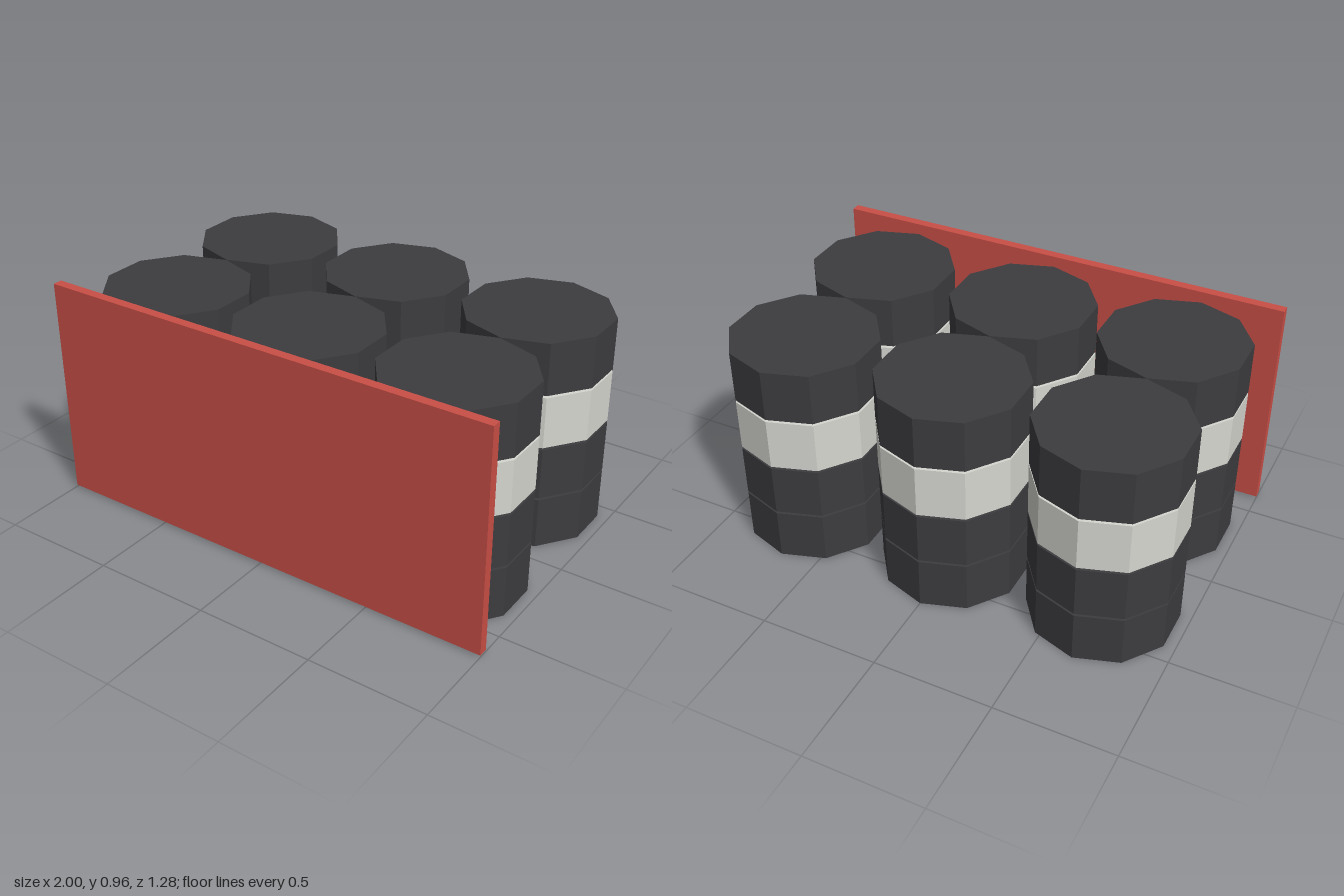
import * as THREE from 'three';

const mat = (name, color) => {
  const m = new THREE.MeshStandardMaterial({ color });
  m.name = name;
  return m;
};

export function createModel() {
  const model = new THREE.Group();
  model.name = 'tyreBarrier';
  const black = mat('black rubber', 0x3c3c40);
  const white = mat('white rubber', 0xd6d6d0);
  const red = mat('red panel', 0xc94f46);

  // Ten-sided tyre; a corner points along z
  const height = 0.22, pitch = 0.23;
  const tyreGeo = new THREE.CylinderGeometry(0.308, 0.308, height, 10).toNonIndexed();
  tyreGeo.computeVertexNormals(); // faceted sides

  // Two rows of three stacks, third tyre up painted white
  for (const z of [-0.332, 0.287]) {
    for (const x of [-0.66, 0, 0.66]) {
      const stack = new THREE.Group();
      stack.name = 'tyreStack';
      stack.position.set(x, 0, z);
      for (let i = 0; i < 4; i++) {
        const tyre = new THREE.Mesh(tyreGeo, i === 2 ? white : black);
        tyre.name = i === 2 ? 'whiteTyre' : 'blackTyre';
        tyre.position.y = height / 2 + i * pitch;
        stack.add(tyre);
      }
      model.add(stack);
    }
  }

  // Front board
  const panel = new THREE.Mesh(new THREE.BoxGeometry(2, 0.947, 0.04), red);
  panel.name = 'frontPanel';
  panel.position.set(0, 0.4815, 0.62);
  model.add(panel);

  return model;
}
